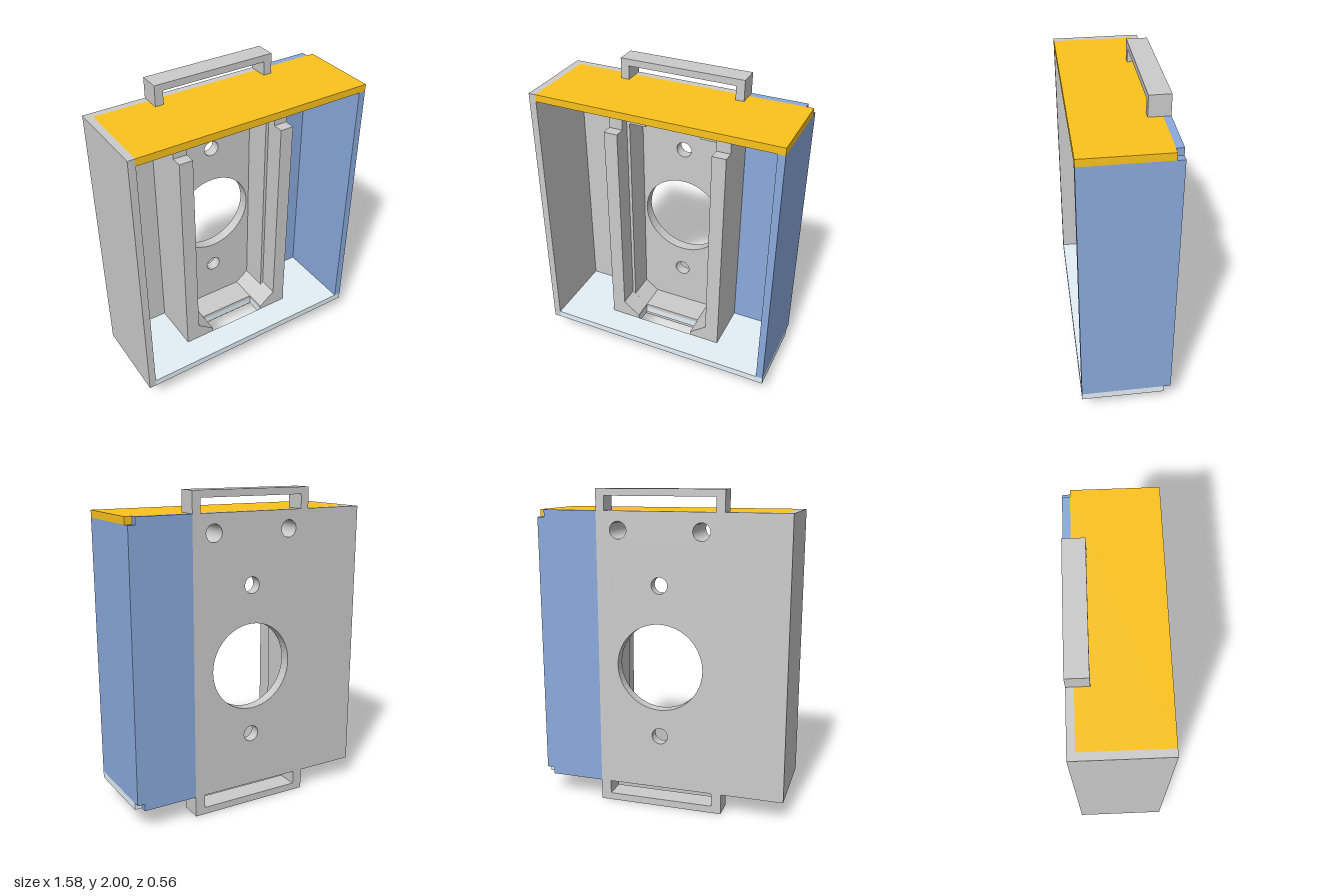
import * as THREE from 'three';

const material = (color) => new THREE.MeshStandardMaterial({ color });
const grey = material(0xcccccc);
const blue = material(0x8aaadd);
const yellow = material(0xfcc31c);
const pale = material(0xe4f0f7);

// Outer box limits, wall thickness and half width of the central mount
const W = 0.79, Z = 0.28, Y0 = 0.13, Y1 = 1.87, T = 0.045, M = 0.4;
const IN0 = Y0 + T, IN1 = Y1 - T;

const polygon = (points) => new THREE.Shape(points.map(([x, y]) => new THREE.Vector2(x, y)));
const rect = (x0, x1, y0, y1) => polygon([[x0, y0], [x1, y0], [x1, y1], [x0, y1]]);
const circle = (x, y, r) => new THREE.Path().absarc(x, y, r, 0, Math.PI * 2, true);

export function createModel() {
  const model = new THREE.Group();

  const box = (parent, name, mat, x0, x1, y0, y1, z0, z1) => {
    const mesh = new THREE.Mesh(new THREE.BoxGeometry(x1 - x0, y1 - y0, z1 - z0), mat);
    mesh.position.set((x0 + x1) / 2, (y0 + y1) / 2, (z0 + z1) / 2);
    mesh.name = name;
    parent.add(mesh);
  };
  const slab = (parent, name, mat, shape, z0, z1, holes = []) => {
    shape.holes.push(...holes);
    const geometry = new THREE.ExtrudeGeometry(shape, { depth: z1 - z0, bevelEnabled: false, curveSegments: 24 });
    geometry.translate(0, 0, z0);
    const mesh = new THREE.Mesh(geometry, mat);
    mesh.name = name;
    parent.add(mesh);
  };

  // Housing: open at the front
  const housing = new THREE.Group();
  housing.name = 'housing';
  model.add(housing);
  box(housing, 'rightWall', grey, -W, -W + T, Y0, Y1, -Z, Z);
  box(housing, 'rightBackPanel', grey, -W + T, -M, Y0, Y1, -Z, -Z + T);
  box(housing, 'leftWall', blue, W - T, W, IN0, IN1, -Z, Z);
  box(housing, 'leftBackPanel', blue, M, W - T, Y0, Y1, -Z, -Z + T);
  box(housing, 'ceiling', yellow, -W + T, W, IN1, Y1, -Z + T, Z);

  // Floor with a drain slot beneath the mount
  const floor = new THREE.Shape([
    new THREE.Vector2(-W + T, -Z), new THREE.Vector2(W, -Z),
    new THREE.Vector2(W, Z - T), new THREE.Vector2(-W + T, Z - T),
  ]);
  floor.holes.push(new THREE.Path([
    new THREE.Vector2(-0.2, -0.1), new THREE.Vector2(-0.2, 0.03),
    new THREE.Vector2(0.2, 0.03), new THREE.Vector2(0.2, -0.1),
  ]));
  const floorGeometry = new THREE.ExtrudeGeometry(floor, { depth: T, bevelEnabled: false });
  floorGeometry.rotateX(-Math.PI / 2).translate(0, Y0, 0);
  const floorMesh = new THREE.Mesh(floorGeometry, pale);
  floorMesh.name = 'floor';
  housing.add(floorMesh);

  // Mount: stacked layers from the back plate to the rails
  const mount = new THREE.Group();
  mount.name = 'mount';
  model.add(mount);
  const topHoles = () => [-0.26, 0.26].map((x) => circle(x, 1.755, 0.053));
  const plateHoles = () => [
    circle(0, 0.92, 0.273), circle(0, 1.43, 0.051), circle(0, 0.475, 0.051), ...topHoles(),
  ];
  slab(mount, 'backPlate', grey, rect(-M, M, Y0, Y1), -Z, -Z + T, plateHoles());
  slab(mount, 'pocketFloor', grey, rect(-M, M, IN0, IN1), -Z + T, -0.21, plateHoles());

  // Deep pocket, narrowed by two lips at the top
  const pocket = polygon([
    [-0.2, 0.2], [-0.29, 0.27], [-0.29, 1.635], [-0.18, 1.635], [-0.18, 1.7],
    [0.18, 1.7], [0.18, 1.635], [0.29, 1.635], [0.29, 0.27], [0.2, 0.2],
  ]);
  slab(mount, 'pocketWall', grey, rect(-M, M, IN0, IN1), -0.21, -0.03, [pocket, ...topHoles()]);

  // Wider seat, open at the bottom
  const seat = polygon([
    [-M, IN0], [-0.2, IN0], [-0.2, 0.2], [-0.31, 0.285], [-0.31, 1.7], [0.31, 1.7],
    [0.31, 0.285], [0.2, 0.2], [0.2, IN0], [M, IN0], [M, IN1], [-M, IN1],
  ]);
  slab(mount, 'seatWall', grey, seat, -0.03, 0.03, topHoles());

  // Guide rails with sloping feet
  for (const s of [-1, 1]) {
    const rail = polygon([
      [s * M, IN0], [s * 0.2, IN0], [s * 0.2, 0.2],
      [s * 0.31, 0.285], [s * 0.31, 1.615], [s * M, 1.615],
    ]);
    slab(mount, s < 0 ? 'rightRail' : 'leftRail', grey, rail, 0.03, 0.1);
  }

  // Strap loops above and below
  slab(model, 'topLoop', grey, polygon([
    [-M, Y1], [-0.347, Y1], [-0.347, 1.957], [0.347, 1.957],
    [0.347, Y1], [M, Y1], [M, 2], [-M, 2],
  ]), -Z, -0.15);
  slab(model, 'bottomLoop', grey, polygon([
    [-M, Y0], [-0.337, Y0], [-0.337, 0.045], [0.337, 0.045],
    [0.337, Y0], [M, Y0], [M, 0], [-M, 0],
  ]), -Z, -0.14);

  return model;
}
